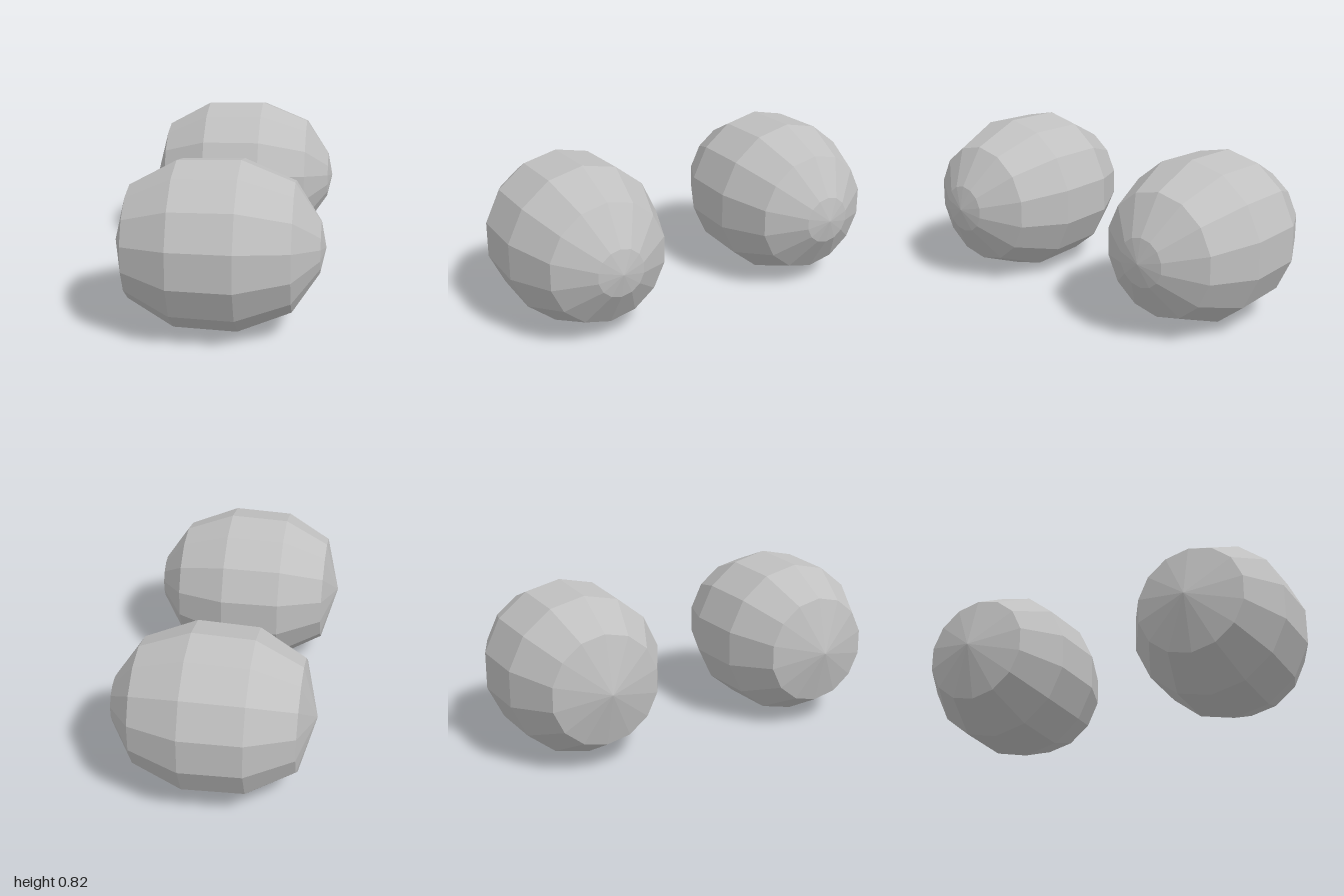
import * as THREE from 'three';

// Half-profile along the long axis: [radius, position], blunt end to tip
const PROFILE = [
  [0, -0.5], [0.275, -0.425], [0.4, -0.2], [0.41, 0.1],
  [0.31, 0.35], [0.122, 0.475], [0, 0.5],
];
const SIDES = 14;

export function createModel() {
  const group = new THREE.Group();
  group.name = 'podPair';

  const grey = new THREE.MeshStandardMaterial({ color: 0xc0c0c0, flatShading: true });
  grey.name = 'light grey';

  // Faceted pod turned about y, then laid along x with a corner on top
  const points = PROFILE.map(([r, y]) => new THREE.Vector2(r, y));
  const podGeometry = new THREE.LatheGeometry(points, SIDES, Math.PI / 2);
  podGeometry.rotateZ(-Math.PI / 2);

  // One pod at the front, one at the back
  for (const [name, z] of [['frontPod', 0.6], ['backPod', -0.6]]) {
    const pod = new THREE.Mesh(podGeometry, grey);
    pod.name = name;
    pod.position.set(0, 0.41, z);
    group.add(pod);
  }
  return group;
}
